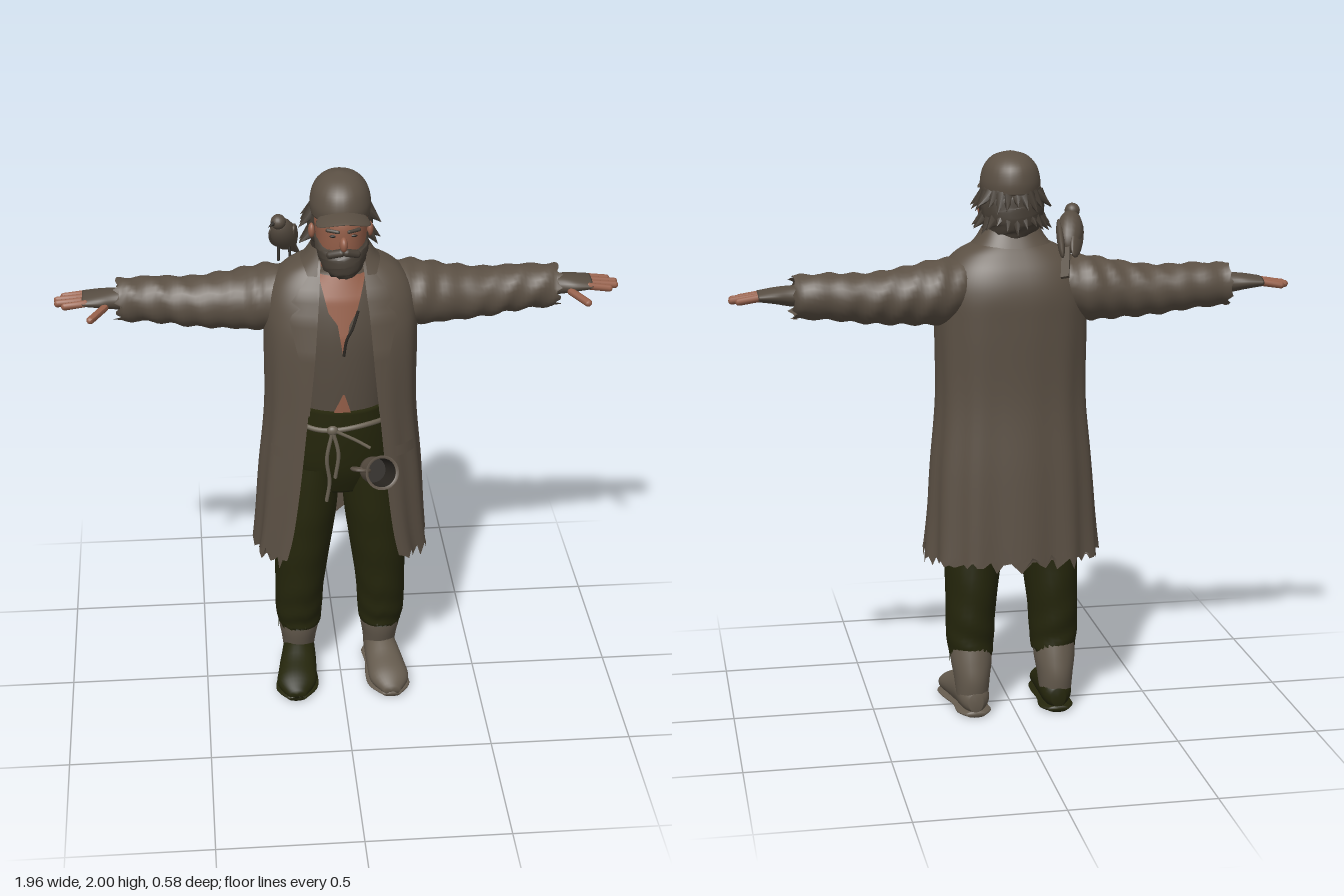
import * as THREE from 'three';

const V = (x, y, z) => new THREE.Vector3(x, y, z);
const paint = (name, color, side = THREE.FrontSide) => new THREE.MeshStandardMaterial({ name, color, side });

// Catmull-Rom reading of a table of rows at parameter t (0..1)
function sample(rows, t) {
  const f = t * (rows.length - 1), i = Math.min(Math.floor(f), rows.length - 2), u = f - i;
  const at = k => rows[Math.max(0, Math.min(rows.length - 1, k))];
  return rows[i].map((_, c) => {
    const a = at(i - 1)[c], b = at(i)[c], d = at(i + 1)[c], e = at(i + 2)[c];
    return b + 0.5 * u * (d - a + u * (2 * a - 5 * b + 4 * d - e + u * (3 * (b - d) + e - a)));
  });
}
// Row at a given height (first column), linear
function rowAt(rows, y) {
  let i = 0;
  while (i < rows.length - 2 && rows[i + 1][0] < y) i++;
  const u = THREE.MathUtils.clamp((y - rows[i][0]) / (rows[i + 1][0] - rows[i][0]), 0, 1);
  return rows[i].map((v, c) => v + (rows[i + 1][c] - v) * u);
}
// Skin over a grid of points, optionally closed round and capped
function skinGrid(grid, closed, caps) {
  const n = grid[0].length, pos = [], idx = [];
  grid.forEach(r => r.forEach(p => pos.push(p.x, p.y, p.z)));
  for (let i = 0; i < grid.length - 1; i++) for (let j = 0; j < (closed ? n : n - 1); j++) {
    const k = (j + 1) % n, a = i * n + j, b = i * n + k;
    idx.push(a, b, b + n, a, b + n, a + n);
  }
  if (caps) [0, grid.length - 1].forEach((r, e) => {
    const c = grid[r].reduce((s, p) => s.add(p), V(0, 0, 0)).divideScalar(n), ci = pos.length / 3;
    pos.push(c.x, c.y, c.z);
    for (let j = 0; j < n; j++) {
      const a = r * n + j, b = r * n + (j + 1) % n;
      idx.push(...(e ? [a, b, ci] : [b, a, ci]));
    }
  });
  const g = new THREE.BufferGeometry();
  g.setAttribute('position', new THREE.Float32BufferAttribute(pos, 3));
  g.setIndex(idx);
  g.computeVertexNormals();
  return g;
}
// Loft of ellipses along an axis; rows: [along, centre v, centre u, radius v, radius u]
const FRAMES = { y: [V(0, 1, 0), V(0, 0, 1), V(1, 0, 0)], x: [V(1, 0, 0), V(0, 1, 0), V(0, 0, 1)], z: [V(0, 0, 1), V(1, 0, 0), V(0, 1, 0)] };
function loft(axis, rows, { seg = 28, steps = 20, caps = true, warp } = {}) {
  const [w, v, u] = FRAMES[axis], grid = [];
  for (let i = 0; i <= steps; i++) {
    const [s, cv, cu, rv, ru] = sample(rows, i / steps), ring = [];
    for (let j = 0; j < seg; j++) {
      const a = j / seg * Math.PI * 2;
      const p = V(0, 0, 0).addScaledVector(w, s).addScaledVector(v, cv + rv * Math.cos(a)).addScaledVector(u, cu + ru * Math.sin(a));
      if (warp) warp(p, i / steps, j);
      ring.push(p);
    }
    grid.push(ring);
  }
  return skinGrid(grid, true, caps);
}
const ragged = j => 0.5 * Math.sin(j * 2.4) + 0.35 * Math.sin(j * 4.1 + 1) + 0.15 * Math.sin(j * 0.7);

// Garment shell open at the front; rows: [height, half width, front z, back z, half opening]
const MID = -0.02, POW = 2.5;
function openShell(rows, steps, warp) {
  const grid = [], seg = 72;
  for (let i = 0; i <= steps; i++) {
    const [y, rx, zf, zb, gap] = sample(rows, i / steps), ring = [];
    const a0 = Math.asin(Math.min(1, Math.pow(gap / rx, POW / 2)));
    for (let j = 0; j <= seg; j++) {
      const a = a0 + (2 * Math.PI - 2 * a0) * j / seg, s = Math.sin(a), c = Math.cos(a);
      const p = V(Math.sign(s) * rx * Math.abs(s) ** (2 / POW), y, MID + (c > 0 ? zf - MID : zb - MID) * Math.abs(c) ** (2 / POW));
      if (warp) warp(p, i / steps, j);
      ring.push(p);
    }
    grid.push(ring);
  }
  return skinGrid(grid, false, false);
}
// Thin panel hugging a front surface; rows: [height, x from, x to], bottom to top
function panel(rows, zAt, off) {
  const grid = [];
  for (let i = 0; i <= 24; i++) {
    const y0 = rows[0][0], y = y0 + (rows[rows.length - 1][0] - y0) * i / 24, [, a, b] = rowAt(rows, y);
    grid.push(Array.from({ length: 9 }, (_, j) => {
      const x = a + (b - a) * j / 8;
      return V(x, y, zAt(x, y) + off);
    }));
  }
  return skinGrid(grid, false, false);
}
function mirrored(g) {
  const m = g.clone().scale(-1, 1, 1), ix = m.index.array;
  for (let i = 0; i < ix.length; i += 3) [ix[i], ix[i + 1]] = [ix[i + 1], ix[i]];
  m.computeVertexNormals();
  return m;
}
const tube = (pts, r, n = 24) => new THREE.TubeGeometry(new THREE.CatmullRomCurve3(pts.map(p => V(...p))), n, r, 7);
// Capsule or cone stretched between two points
function between(g, a, b) {
  const d = V(...b).sub(V(...a)), q = new THREE.Quaternion().setFromUnitVectors(V(0, 1, 0), d.clone().normalize());
  return g.applyQuaternion(q).translate((a[0] + b[0]) / 2, (a[1] + b[1]) / 2, (a[2] + b[2]) / 2);
}
const rod = (a, b, r) => between(new THREE.CapsuleGeometry(r, V(...a).distanceTo(V(...b)) - r, 4, 9), a, b);
const spike = (a, b, r) => between(new THREE.ConeGeometry(r, V(...a).distanceTo(V(...b)), 6), a, b);
const blob = (x, y, z, rx, ry, rz) => new THREE.SphereGeometry(1, 20, 14).scale(rx, ry, rz).translate(x, y, z);

export function createModel() {
  const root = new THREE.Group();
  root.name = 'wanderer';
  const D = THREE.DoubleSide;
  const coat = paint('coat cloth', 0x5b5044, D), shirt = paint('shirt cloth', 0x564c41, D), olive = paint('olive cloth', 0x25260c, D);
  const skin = paint('skin', 0x96604a, D), hair = paint('grey hair', 0x473f36), leather = paint('boot leather', 0x655b4e);
  const rope = paint('rope', 0x6b6253), dark = paint('dark', 0x2a2621, D);
  const add = (name, geo, mat, parent = root) => {
    const m = new THREE.Mesh(geo, mat);
    m.name = name;
    parent.add(m);
    return m;
  };
  const pair = (name, geo, mat, matRight = mat) => {
    add(name + 'Left', geo, mat);
    add(name + 'Right', mirrored(geo), matRight);
  };

  // Long coat with torn hem and soft folds
  const coatRows = [[0.58, 0.31, 0.18, -0.23, 0.2], [0.7, 0.3, 0.18, -0.225, 0.175], [0.9, 0.287, 0.178, -0.215, 0.15],
    [1.15, 0.265, 0.175, -0.2, 0.125], [1.4, 0.265, 0.165, -0.205, 0.1], [1.52, 0.262, 0.14, -0.205, 0.09],
    [1.6, 0.24, 0.11, -0.185, 0.08], [1.66, 0.19, 0.075, -0.15, 0.075], [1.7, 0.11, 0.05, -0.12, 0.07]];
  add('coat', openShell(coatRows, 48, (p, t, j) => {
    const low = Math.max(0, 1 - t * 1.6), f = 1 + 0.03 * low * Math.sin(j * 0.9);
    p.x *= f;
    p.z = MID + (p.z - MID) * f;
    if (t === 0) p.y += 0.035 * ragged(j);
  }), coat);
  add('collar', openShell([[1.655, 0.17, 0.085, -0.15, 0.085], [1.7, 0.125, 0.07, -0.125, 0.08], [1.74, 0.1, 0.055, -0.105, 0.075]], 8), coat);
  const coatZ = (x, y) => {
    const [, rx, zf] = rowAt(coatRows, y);
    return MID + (zf - MID) * Math.max(0, 1 - Math.abs(x / rx) ** POW) ** (1 / POW);
  };
  pair('lapel', panel([[1.18, 0.12, 0.124], [1.35, 0.103, 0.145], [1.53, 0.088, 0.185], [1.56, 0.085, 0.15], [1.58, 0.083, 0.175], [1.66, 0.076, 0.115]], coatZ, 0.012), coat);
  pair('pocketFlap', panel([[1.0, 0.18, 0.25], [1.04, 0.175, 0.25]], coatZ, 0.009), coat);

  // Sleeves, worn gloves and fingers
  pair('sleeve', loft('x', [[0.14, 1.55, -0.06, 0.09, 0.09], [0.25, 1.53, -0.065, 0.112, 0.12], [0.37, 1.52, -0.07, 0.1, 0.104],
    [0.5, 1.515, -0.075, 0.087, 0.092], [0.63, 1.525, -0.08, 0.08, 0.08], [0.76, 1.528, -0.08, 0.074, 0.07]], {
    steps: 44, caps: false, warp: (p, t, j) => {
      p.y += 0.004 * Math.sin(t * 48 + j * 0.4);
      p.z += 0.003 * Math.sin(t * 41 + j * 0.6);
      if (t === 1) p.x += 0.018 * ragged(j);
    },
  }), coat);
  pair('glove', loft('x', [[0.66, 1.53, -0.08, 0.04, 0.045], [0.76, 1.532, -0.08, 0.036, 0.046], [0.82, 1.535, -0.08, 0.028, 0.056], [0.88, 1.535, -0.083, 0.018, 0.056]]), shirt);
  [[-0.128, 0.95], [-0.099, 0.972], [-0.069, 0.97], [-0.041, 0.945]].forEach(([z, x], i) => {
    pair('finger' + (i + 1), rod([0.86, 1.537, z * 0.95], [x, 1.524, z], 0.0125), skin);
  });
  pair('thumb', rod([0.8, 1.523, -0.035], [0.855, 1.508, 0.045], 0.0135), skin);

  // Shirt with open neck and bare belly
  const shirtRows = [[1.12, 0, 0, 0.125, 0.16], [1.3, 0, 0, 0.135, 0.175], [1.45, 0, 0, 0.132, 0.19], [1.58, 0, 0, 0.105, 0.17], [1.67, 0, 0, 0.07, 0.09]];
  add('shirt', loft('y', shirtRows), shirt);
  const shirtZ = (x, y) => {
    const [, , , rz, rx] = rowAt(shirtRows, y);
    return rz * Math.sqrt(Math.max(0, 1 - (x / rx) ** 2));
  };
  add('bareChest', panel([[1.4, -0.004, 0.004], [1.5, -0.02, 0.02], [1.54, -0.05, 0.045], [1.66, -0.08, 0.08]], shirtZ, 0.008), skin);
  add('bareBelly', panel([[1.15, -0.045, 0.03], [1.18, -0.03, 0.022], [1.24, -0.003, 0.003]], shirtZ, 0.009), skin);
  add('shirtTear', tube([[0.05, 1.55, 0.125], [0.03, 1.49, 0.138], [0.01, 1.45, 0.142], [0.0, 1.39, 0.143]], 0.005), dark);

  // Trousers
  add('trouserSeat', loft('y', [[0.82, -0.02, 0, 0.1, 0.14], [0.92, -0.015, 0, 0.135, 0.19], [1.05, -0.01, 0, 0.147, 0.185], [1.17, 0, 0, 0.138, 0.168]]), olive);
  pair('trouserLeg', loft('y', [[0.21, -0.045, 0.15, 0.087, 0.078], [0.28, -0.04, 0.152, 0.097, 0.086], [0.4, -0.035, 0.148, 0.113, 0.09],
    [0.58, -0.025, 0.135, 0.124, 0.102], [0.75, -0.015, 0.115, 0.128, 0.104], [0.93, -0.01, 0.095, 0.125, 0.09]], {
    steps: 30, caps: false, warp: (p, t, j) => {
      p.z += 0.004 * Math.sin(t * 34 + j * 0.5) * (1 - t);
      if (t === 0) p.y += 0.05 * ragged(j) + 0.015;
    },
  }), olive);

  // Boots: the right foot is darker than its shaft
  pair('bootShaft', loft('y', [[0.06, -0.085, 0.152, 0.065, 0.056], [0.13, -0.075, 0.152, 0.084, 0.064], [0.2, -0.06, 0.152, 0.088, 0.074], [0.29, -0.045, 0.152, 0.08, 0.074]]), leather);
  pair('bootFoot', loft('z', [[-0.155, 0.15, 0.055, 0.025, 0.035], [-0.12, 0.15, 0.065, 0.053, 0.055], [-0.03, 0.155, 0.07, 0.062, 0.07],
    [0.06, 0.165, 0.055, 0.07, 0.052], [0.13, 0.172, 0.042, 0.07, 0.042], [0.19, 0.175, 0.03, 0.03, 0.02]], { warp: p => { p.y = Math.max(p.y, 0.015); } }), leather, olive);
  pair('sole', loft('z', [[-0.155, 0.15, 0.012, 0.035, 0.011], [-0.11, 0.15, 0.012, 0.062, 0.012], [-0.03, 0.155, 0.012, 0.06, 0.012],
    [0.06, 0.165, 0.012, 0.076, 0.012], [0.13, 0.172, 0.012, 0.074, 0.012], [0.19, 0.175, 0.014, 0.032, 0.01]]), leather, olive);

  // Rope belt with knot and hanging ends
  const loop = Array.from({ length: 24 }, (_, i) => {
    const a = i / 24 * Math.PI * 2;
    return V(0.178 * Math.sin(a), 1.11 + 0.008 * Math.sin(a * 3), 0.15 * Math.cos(a) - 0.003);
  });
  add('ropeBelt', new THREE.TubeGeometry(new THREE.CatmullRomCurve3(loop, true), 72, 0.009, 7, true), rope);
  add('ropeKnot', blob(-0.04, 1.11, 0.153, 0.02, 0.018, 0.014), rope);
  add('ropeEndLong', tube([[-0.04, 1.11, 0.158], [-0.06, 1.0, 0.156], [-0.05, 0.9, 0.143], [-0.06, 0.82, 0.135]], 0.007), rope);
  add('ropeEndShort', tube([[-0.04, 1.11, 0.158], [-0.02, 1.02, 0.157], [-0.03, 0.92, 0.148]], 0.007), rope);
  add('ropeSling', tube([[-0.04, 1.115, 0.158], [0.04, 1.07, 0.155], [0.09, 1.04, 0.16]], 0.006), rope);

  // Tin mug hanging from the belt, mouth forward
  const mug = new THREE.Group();
  mug.name = 'mug';
  add('mugWall', new THREE.LatheGeometry([[0, -0.06], [0.045, -0.06], [0.047, -0.04], [0.053, 0.04], [0.06, 0.055], [0.06, 0.06], [0.05, 0.055]].map(p => new THREE.Vector2(...p)), 28), coat, mug);
  add('mugInside', new THREE.CylinderGeometry(0.051, 0.043, 0.1, 28, 1, true), dark, mug);
  add('mugBottom', new THREE.CircleGeometry(0.045, 24).rotateX(-Math.PI / 2).translate(0, -0.04, 0), dark, mug);
  add('mugHandle', new THREE.TorusGeometry(0.03, 0.007, 8, 18).translate(-0.06, 0, 0), coat, mug);
  mug.position.set(0.11, 0.975, 0.21);
  mug.quaternion.setFromUnitVectors(V(0, 1, 0), V(0.22, 0.38, 0.9).normalize());
  root.add(mug);

  // Head and face
  add('neck', loft('y', [[1.56, 0, 0, 0.085, 0.085], [1.66, 0, 0, 0.07, 0.07], [1.76, 0.01, 0, 0.07, 0.065]]), skin);
  add('face', loft('y', [[1.68, 0.05, 0, 0.05, 0.04], [1.73, 0.03, 0, 0.09, 0.075], [1.8, 0.015, 0, 0.115, 0.087], [1.87, 0.01, 0, 0.115, 0.09], [1.93, 0, 0, 0.08, 0.07]]), skin);
  add('nose', blob(0, 1.795, 0.133, 0.014, 0.026, 0.022), skin);
  pair('ear', blob(0.098, 1.8, 0.01, 0.012, 0.026, 0.018), skin);
  pair('brow', rod([0.015, 1.838, 0.127], [0.055, 1.84, 0.11], 0.007), hair);
  pair('eye', blob(0.034, 1.822, 0.121, 0.012, 0.005, 0.005), dark);

  // Beard and shaggy hair
  const shag = (p, t, j) => { p.x *= 1 + 0.05 * ragged(j); p.y += 0.008 * ragged(j * 3 + t * 40); };
  add('beard', loft('y', [[1.668, 0.095, 0, 0.025, 0.03], [1.69, 0.083, 0, 0.06, 0.062], [1.73, 0.06, 0, 0.088, 0.08], [1.765, 0.04, 0, 0.09, 0.09], [1.8, -0.01, 0, 0.07, 0.092]], { warp: shag }), hair);
  pair('moustache', rod([0.004, 1.77, 0.14], [0.05, 1.755, 0.122], 0.014), hair);
  add('hair', loft('y', [[1.71, -0.05, 0, 0.065, 0.07], [1.76, -0.045, 0, 0.095, 0.1], [1.82, -0.04, 0, 0.1, 0.112], [1.88, -0.03, 0, 0.1, 0.1]], { warp: shag }), hair);
  for (let i = 0; i < 30; i++) {
    const a = Math.PI * (0.42 + 1.16 * (i % 15) / 14), y = i < 15 ? 1.84 : 1.77, s = Math.sin(a), c = Math.cos(a), k = 0.14 + 0.012 * ragged(i);
    add('hairTuft', spike([0.09 * s, y + 0.02, -0.035 + 0.08 * c], [k * s, y - 0.03 + 0.02 * ragged(i * 2), -0.03 + 0.125 * c], 0.024), hair);
  }

  // Peaked cap
  add('capCrown', loft('y', [[1.86, -0.01, 0, 0.127, 0.1], [1.9, -0.01, 0, 0.13, 0.103], [1.95, -0.012, 0, 0.114, 0.09], [1.985, -0.012, 0, 0.07, 0.058], [2, -0.012, 0, 0.01, 0.01]]), coat);
  const peak = blob(0, 1.895, 0.115, 0.092, 0.009, 0.09), pp = peak.attributes.position;
  for (let i = 0; i < pp.count; i++) pp.setY(i, pp.getY(i) - 4 * pp.getX(i) ** 2);
  peak.computeVertexNormals();
  add('capPeak', peak, coat);
  add('capButton', blob(0, 1.995, -0.012, 0.012, 0.005, 0.012), coat);

  // Bird perched on the right shoulder
  const bird = new THREE.Group();
  bird.name = 'bird';
  add('birdBody', between(new THREE.SphereGeometry(1, 18, 12).scale(0.045, 0.085, 0.046), [-0.2, 1.785, -0.08], [-0.172, 1.68, -0.17]), shirt, bird);
  add('birdHead', blob(-0.205, 1.798, -0.075, 0.026, 0.026, 0.028), shirt, bird);
  add('birdBeak', spike([-0.22, 1.8, -0.06], [-0.242, 1.795, -0.035], 0.009), dark, bird);
  [-1, 1].forEach(s => {
    add('birdWing', between(new THREE.SphereGeometry(1, 14, 10).scale(0.013, 0.085, 0.034), [-0.19 + s * 0.038, 1.76, -0.1], [-0.163 + s * 0.02, 1.665, -0.21]), shirt, bird);
    add('birdLeg', rod([-0.185 + s * 0.018, 1.7, -0.115], [-0.185 + s * 0.02, 1.645, -0.1], 0.005), dark, bird);
  });
  add('birdTail', between(new THREE.BoxGeometry(0.028, 0.15, 0.01), [-0.163, 1.69, -0.175], [-0.138, 1.605, -0.275]), shirt, bird);
  root.add(bird);
  return root;
}
